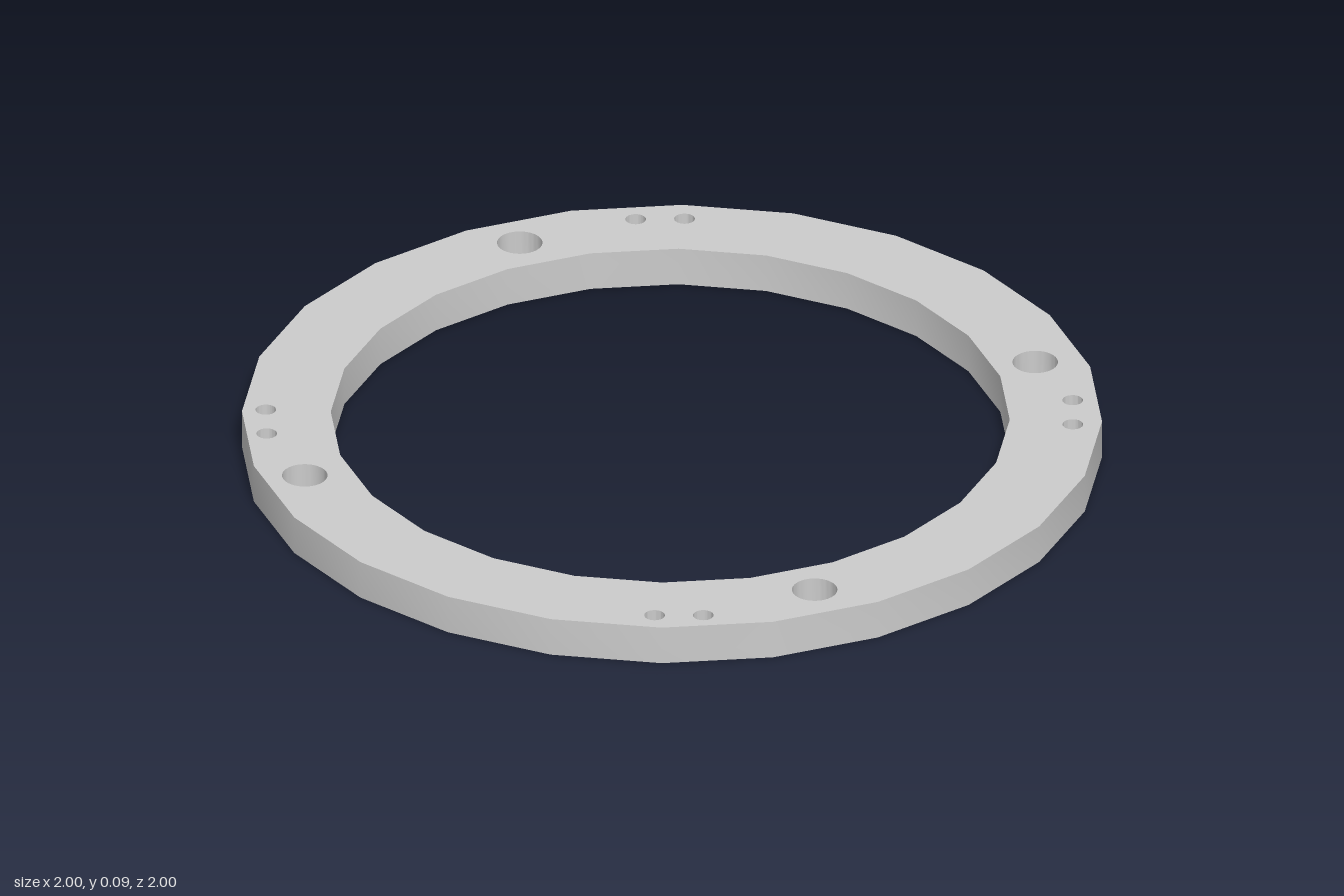
import * as THREE from 'three';
import { toCreasedNormals } from 'three/addons/utils/BufferGeometryUtils.js';

const THICKNESS = 0.095;
const SIDES = 24;
const PHASE = THREE.MathUtils.degToRad(4.4);

// Regular polygon in plan: shape x is model x, shape y is model z
function ringPoints(radius, cx, cz) {
  const points = [];
  for (let i = 0; i < SIDES; i++) {
    const a = PHASE + (i / SIDES) * Math.PI * 2;
    points.push(new THREE.Vector2(cx + radius * Math.cos(a), cz + radius * Math.sin(a)));
  }
  return points;
}

export function createModel() {
  const group = new THREE.Group();
  group.name = 'mountingRing';

  // Ring outline with its large central opening
  const shape = new THREE.Shape(ringPoints(1.002, 0, 0));
  shape.holes.push(new THREE.Path(ringPoints(0.791, -0.003, -0.004)));

  const drill = (radius, centres) => {
    for (const [x, z] of centres) {
      shape.holes.push(new THREE.Path().absarc(x, z, radius, 0, Math.PI * 2, true));
    }
  };

  // Four large bolt holes
  drill(0.053, [[-0.083, -0.892], [-0.9, 0.002], [0.884, 0.017], [0.062, 0.884]]);

  // Four pairs of small pin holes
  drill(0.024, [
    [0.208, -0.914], [0.317, -0.881],
    [-0.89, -0.322], [-0.923, -0.214],
    [0.911, 0.216], [0.876, 0.325],
    [-0.33, 0.884], [-0.222, 0.919],
  ]);

  // Lay the plate flat with its underside on y = 0
  const plate = new THREE.ExtrudeGeometry(shape, {
    depth: THICKNESS, bevelEnabled: false, curveSegments: 24,
  });
  plate.rotateX(Math.PI / 2).translate(0, THICKNESS, 0);

  const ring = new THREE.Mesh(
    toCreasedNormals(plate, 0.6),
    new THREE.MeshStandardMaterial({ color: 0xcccccc }),
  );
  ring.name = 'ringPlate';
  group.add(ring);
  return group;
}
